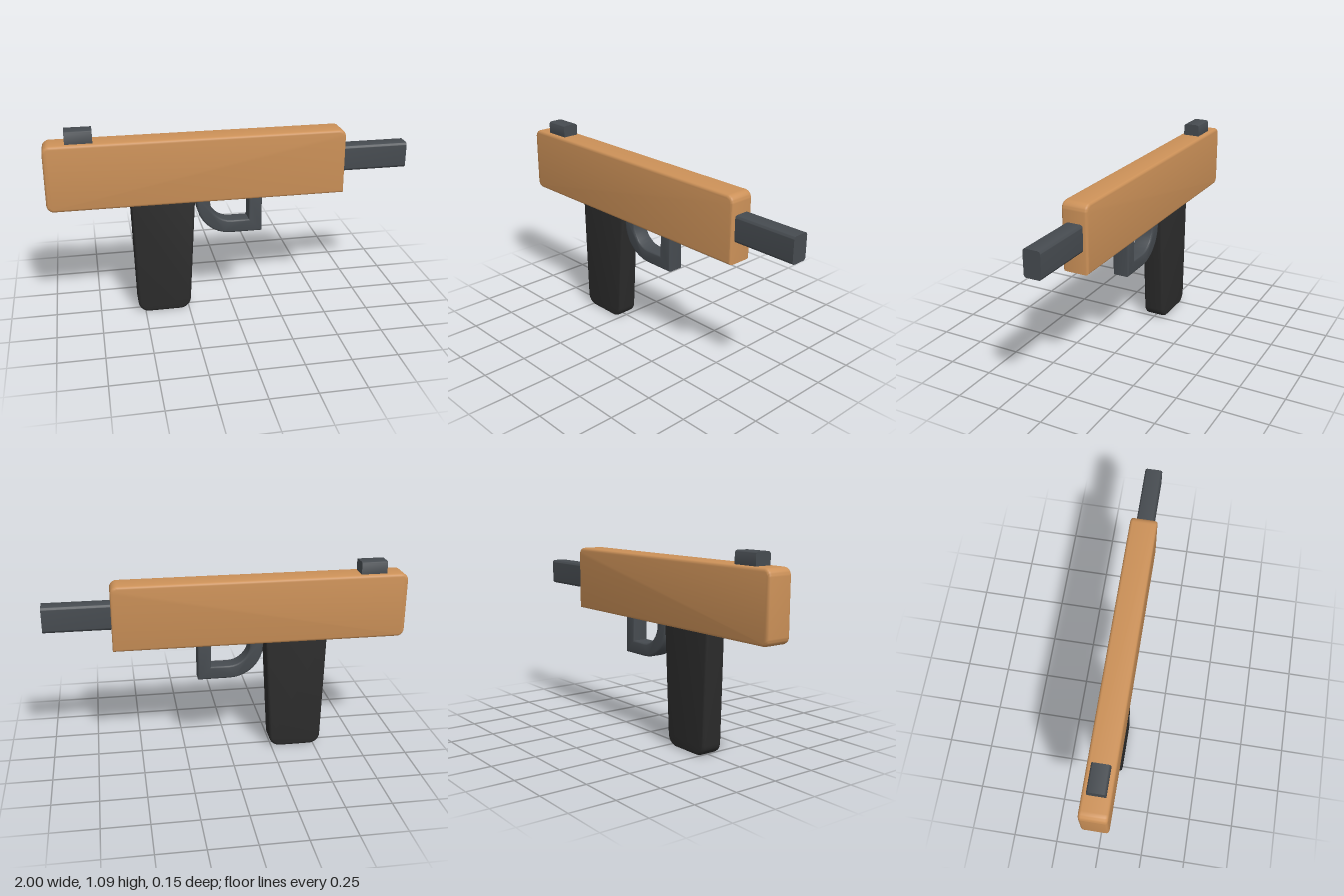
import * as THREE from 'three';
import { toCreasedNormals } from 'three/addons/utils/BufferGeometryUtils.js';

// Closed outline from corners [x, y, radius]; radius 0 keeps the corner sharp.
function outline(corners) {
  const shape = new THREE.Shape();
  const n = corners.length;
  corners.forEach(([x, y, r], i) => {
    const c = new THREE.Vector2(x, y);
    const toward = (j) => new THREE.Vector2(...corners[(j + n) % n].slice(0, 2)).sub(c).normalize();
    const prev = toward(i - 1), next = toward(i + 1);
    const at = (dir, d) => c.clone().addScaledVector(dir, d);
    const start = at(prev, r);
    if (i === 0) shape.moveTo(start.x, start.y);
    else shape.lineTo(start.x, start.y);
    if (r > 0) {
      const a = at(prev, r * 0.45), b = at(next, r * 0.45), end = at(next, r);
      shape.bezierCurveTo(a.x, a.y, b.x, b.y, end.x, end.y);
    }
  });
  shape.closePath();
  return shape;
}

// Slab of the given total width, centred on its extrusion axis, with rounded rims.
function slab(corners, width, bevel) {
  const geometry = new THREE.ExtrudeGeometry(outline(corners), {
    depth: width - 2 * bevel,
    curveSegments: 8,
    bevelEnabled: bevel > 0,
    bevelThickness: bevel,
    bevelSize: bevel,
    bevelOffset: -bevel,
    bevelSegments: 3,
  });
  geometry.translate(0, 0, -(width - 2 * bevel) / 2);
  return toCreasedNormals(geometry, 0.7);
}

// Bar running along x with a rounded rectangular section.
function bar(x0, x1, y0, y1, width, r) {
  const h = (y1 - y0) / 2, w = width / 2;
  const geometry = slab([[-w, -h, r], [w, -h, r], [w, h, r], [-w, h, r]], x1 - x0, 0);
  geometry.rotateY(Math.PI / 2);
  geometry.translate((x0 + x1) / 2, (y0 + y1) / 2, 0);
  return geometry;
}

export function createModel() {
  const group = new THREE.Group();
  const material = (name, color) => {
    const m = new THREE.MeshStandardMaterial({ color });
    m.name = name;
    return m;
  };
  const orange = material('orange', 0xcc9158);
  const grey = material('slate grey', 0x464b50);
  const black = material('charcoal', 0x2b2b2b);

  const add = (name, geometry, mat) => {
    const mesh = new THREE.Mesh(geometry, mat);
    mesh.name = name;
    group.add(mesh);
  };

  // Main housing, square at the lower front corner
  add('body', slab([
    [-1, 0.657, 0.04], [0.636, 0.657, 0], [0.636, 1.024, 0.04], [-1, 1.024, 0.04],
  ], 0.146, 0.015), orange);

  // Barrel and rear sight
  add('barrel', bar(0.6, 1, 0.776, 0.921, 0.096, 0.015), grey);
  add('rearSight', bar(-0.882, -0.737, 0.98, 1.092, 0.096, 0.015), grey);

  // Tapered handle
  add('grip', slab([
    [-0.556, 0.68, 0], [-0.538, 0.003, 0.06], [-0.242, 0.003, 0.06], [-0.204, 0.68, 0],
  ], 0.124, 0.015), black);

  // Open guard with a curved rear corner
  add('triggerGuard', slab([
    [-0.195, 0.68, 0], [-0.195, 0.452, 0.19], [0.173, 0.452, 0], [0.173, 0.68, 0],
    [0.098, 0.68, 0], [0.098, 0.526, 0], [-0.12, 0.526, 0.12], [-0.12, 0.68, 0],
  ], 0.096, 0.01), grey);

  return group;
}
